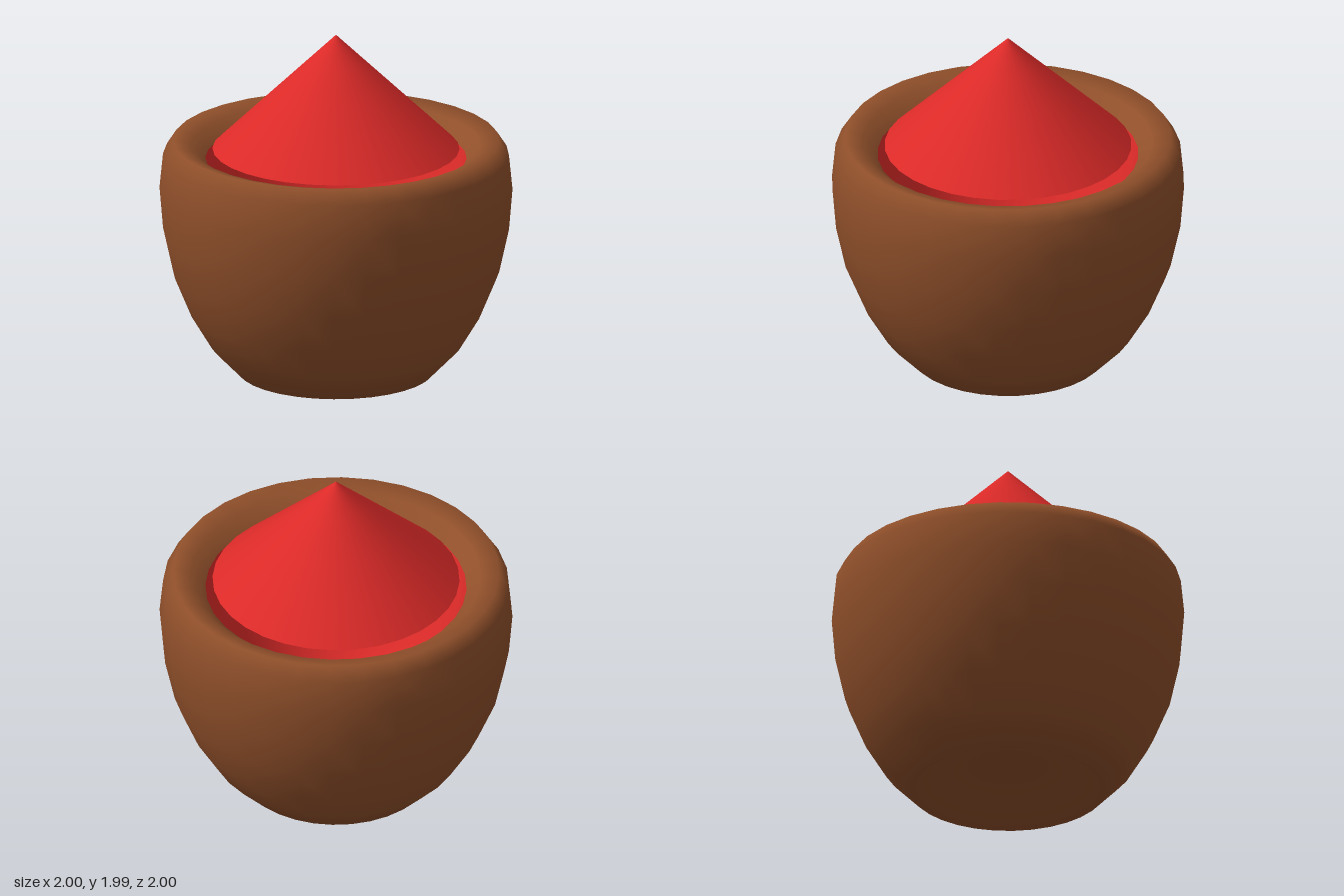
import * as THREE from 'three';

const SEGMENTS = 32;

// Smooth turned surface from [radius, height] pairs
function turned(name, profile, color) {
  const points = profile.map(([r, y]) => new THREE.Vector2(r, y));
  const mesh = new THREE.Mesh(
    new THREE.LatheGeometry(points, SEGMENTS),
    new THREE.MeshStandardMaterial({ color, side: THREE.DoubleSide })
  );
  mesh.name = name;
  return mesh;
}

export function createModel() {
  const model = new THREE.Group();
  model.name = 'filledBowl';
  const brown = 0x8f4f2a;
  const red = 0xdb2a28;

  // Bowl: dimpled foot, bulging wall, rim rolling inward
  model.add(turned('bowl', [
    [0, 0.17], [0.2, 0.15], [0.38, 0.09], [0.555, 0],
    [0.71, 0.16], [0.83, 0.36], [0.925, 0.59], [0.98, 0.84],
    [1, 1.08], [0.98, 1.28], [0.925, 1.365],
    [0.82, 1.335], [0.74, 1.26],
  ], brown));

  // Red lining inside the bowl, below the rim
  model.add(turned('lining', [
    [0.74, 1.26], [0.7, 1.12], [0.62, 0.9], [0.5, 0.65],
    [0.33, 0.42], [0.15, 0.3], [0, 0.27],
  ], red));

  // Pointed heap standing out of the bowl
  const height = 0.675;
  const heap = new THREE.Mesh(
    new THREE.ConeGeometry(0.7, height, SEGMENTS, 4),
    new THREE.MeshStandardMaterial({ color: red })
  );
  heap.name = 'heap';
  heap.position.y = 1.99 - height / 2;
  model.add(heap);

  return model;
}
